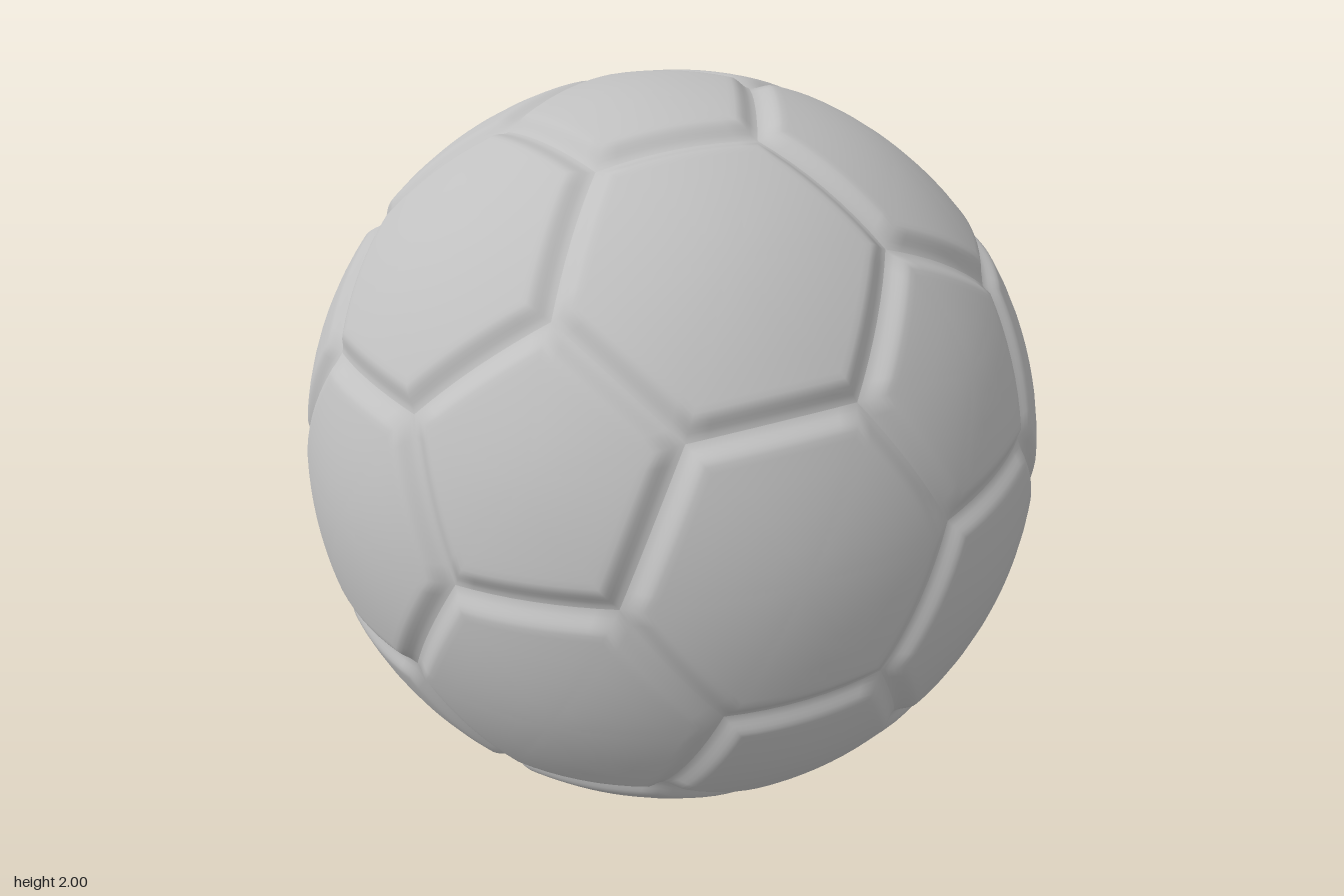
import * as THREE from 'three';

const SEGMENTS = 8;          // subdivisions along each panel edge
const GROOVE_DEPTH = 0.024;
const GROOVE_WIDTH = 0.06;   // distance from seam to full panel height

// Twelve pentagon centres: an icosahedron turned so that one corner lies on
// `axis` and a neighbouring corner lies towards `towards`
function pentagonCentres(axis, towards) {
  const a = axis.clone().normalize();
  const e = towards.clone().addScaledVector(a, -towards.dot(a)).normalize();
  const f = a.clone().cross(e);
  const centres = [a];
  for (let i = 0; i < 5; i++) {
    const t = (i * 2 * Math.PI) / 5;
    centres.push(a.clone().multiplyScalar(0.5)
      .addScaledVector(e, Math.cos(t)).addScaledVector(f, Math.sin(t)).normalize());
  }
  return centres.concat(centres.map((c) => c.clone().negate()));
}

// Panel corner on the line from a to b, one third of the way along
const corner = (a, b) => a.clone().multiplyScalar(2).add(b).normalize();

// Order corners counter-clockwise as seen from outside
function sortAround(corners, centre) {
  const n = centre.clone().normalize();
  const u = corners[0].clone().addScaledVector(n, -corners[0].dot(n)).normalize();
  const v = n.clone().cross(u);
  const angle = (p) => Math.atan2(p.dot(v), p.dot(u));
  return corners.slice().sort((p, q) => angle(p) - angle(q));
}

// Puffed panel made of concentric polygon rings that sink into the seam
function panelGeometry(corners) {
  const centre = corners.reduce((s, p) => s.add(p), new THREE.Vector3())
    .divideScalar(corners.length);
  const pts = sortAround(corners, centre);
  const sides = pts.length;
  const apothem = pts[0].clone().add(pts[1]).multiplyScalar(0.5).distanceTo(centre);
  const seamDistances = [0.78, 0.58, 0.38].map((k) => k * apothem)
    .concat([0.075, 0.06, 0.05, 0.04, 0.03, 0.02, 0.01, 0]);
  const count = sides * SEGMENTS;
  const positions = [...centre.clone().normalize().toArray()];
  const index = [];

  seamDistances.forEach((d, ring) => {
    const t = 1 - d / apothem;
    const radius = 1 - GROOVE_DEPTH * (1 - THREE.MathUtils.smoothstep(d, 0, GROOVE_WIDTH));
    for (let i = 0; i < count; i++) {
      const side = Math.floor(i / SEGMENTS);
      const p = pts[side].clone().lerp(pts[(side + 1) % sides], (i % SEGMENTS) / SEGMENTS);
      p.sub(centre).multiplyScalar(t).add(centre).setLength(radius);
      positions.push(p.x, p.y, p.z);

      const next = (i + 1) % count;
      const outer = 1 + ring * count;
      const inner = outer - count;
      if (ring === 0) index.push(0, outer + i, outer + next);
      else {
        index.push(inner + i, outer + i, outer + next);
        index.push(inner + i, outer + next, inner + next);
      }
    }
  });

  const geometry = new THREE.BufferGeometry();
  geometry.setAttribute('position', new THREE.Float32BufferAttribute(positions, 3));
  geometry.setIndex(index);
  geometry.computeVertexNormals();
  return geometry;
}

export function createModel() {
  const model = new THREE.Group();
  model.name = 'ball';
  const grey = new THREE.MeshStandardMaterial({ color: 0xc0c0c0 });
  grey.name = 'grey';

  const pentagons = new THREE.Group();
  pentagons.name = 'pentagonPanels';
  const hexagons = new THREE.Group();
  hexagons.name = 'hexagonPanels';
  model.add(pentagons, hexagons);

  const addPanel = (group, name, corners) => {
    const mesh = new THREE.Mesh(panelGeometry(corners), grey);
    mesh.name = name;
    group.add(mesh);
  };

  const centres = pentagonCentres(
    new THREE.Vector3(0.876, 0.479, -0.043),
    new THREE.Vector3(0.342, 0.389, 0.851),
  );
  const adjacent = (a, b) => Math.abs(a.dot(b) - 1 / Math.sqrt(5)) < 0.01;

  centres.forEach((a, i) => {
    // One pentagon around every centre
    addPanel(pentagons, 'pentagonPanel',
      centres.filter((b) => adjacent(a, b)).map((b) => corner(a, b)));

    // One hexagon between every three neighbouring centres
    for (let j = i + 1; j < 12; j++) {
      for (let k = j + 1; k < 12; k++) {
        const b = centres[j];
        const c = centres[k];
        if (!adjacent(a, b) || !adjacent(b, c) || !adjacent(a, c)) continue;
        addPanel(hexagons, 'hexagonPanel', [
          corner(a, b), corner(b, a), corner(b, c),
          corner(c, b), corner(c, a), corner(a, c),
        ]);
      }
    }
  });

  // Rest the ball on the ground
  model.position.y = 1;
  return model;
}
